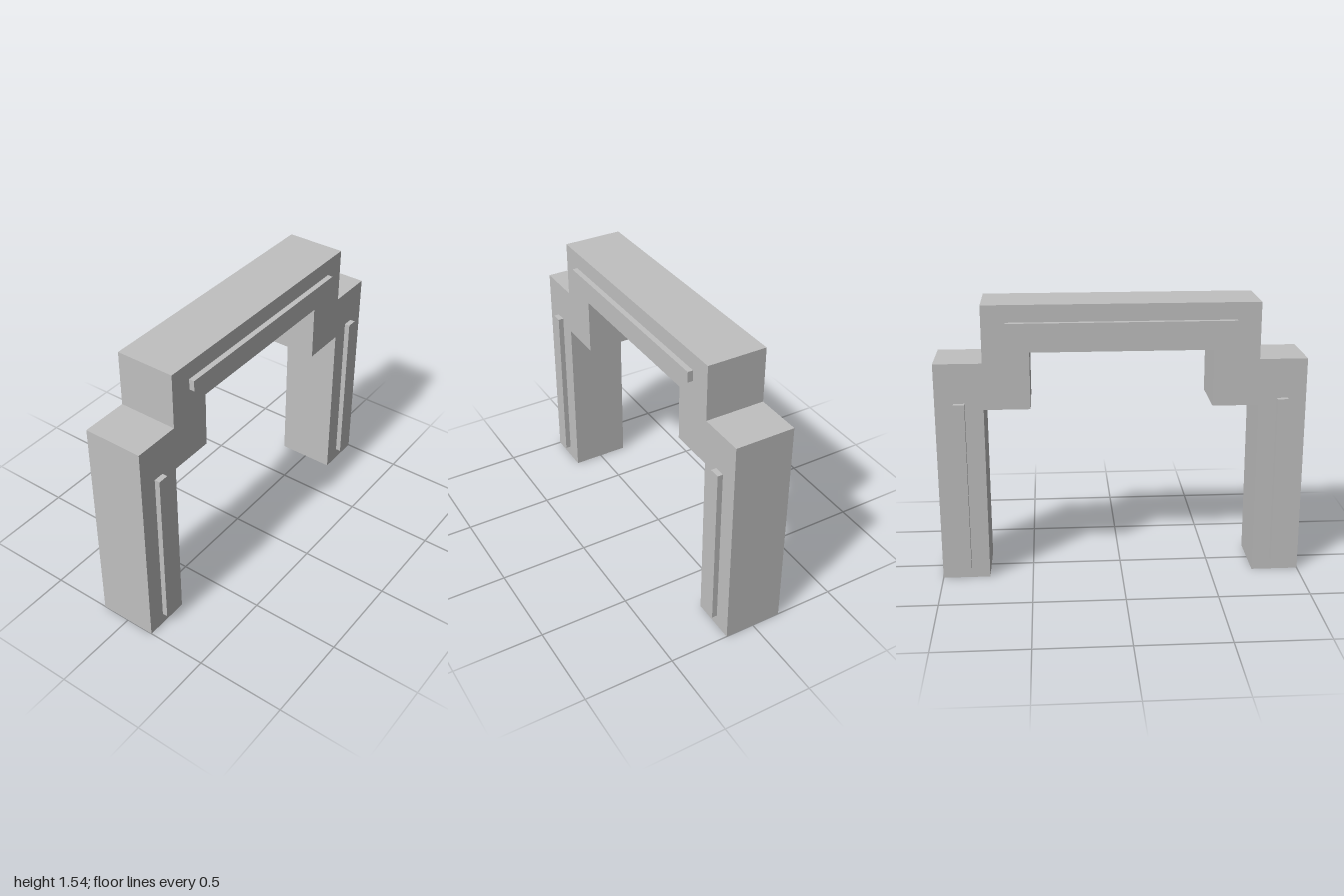
import * as THREE from 'three';

export function createModel() {
  const group = new THREE.Group();
  const grey = new THREE.MeshStandardMaterial({ color: 0xc0c0c0 });
  grey.name = 'stone grey';

  const depth = 0.33;      // thickness of the arch
  const stripDepth = 0.03; // how far the raised strips stand out

  // Stepped arch: half outline on +x, mirrored to -x
  const half = [
    [0.49, 1.285], [0.49, 0.975], [0.74, 0.975], [0.74, 0],
    [1, 0], [1, 1.23], [0.74, 1.23], [0.74, 1.54],
  ];
  const outline = [...half, ...half.map(([x, y]) => [-x, y]).reverse()];
  const shape = new THREE.Shape(outline.map(([x, y]) => new THREE.Vector2(x, y)));
  const archGeometry = new THREE.ExtrudeGeometry(shape, { depth, bevelEnabled: false });
  archGeometry.translate(0, 0, -depth / 2);
  const arch = new THREE.Mesh(archGeometry, grey);
  arch.name = 'arch';
  group.add(arch);

  // Raised strips on the front and the back
  function addStrip(name, x, y, width, height, side) {
    const strip = new THREE.Mesh(new THREE.BoxGeometry(width, height, stripDepth), grey);
    strip.name = name;
    strip.position.set(x, y, side * (depth + stripDepth) / 2);
    group.add(strip);
  }
  for (const [face, side] of [['front', 1], ['back', -1]]) {
    addStrip(face + 'LintelStrip', 0, 1.417, 1.226, 0.06, side);
    addStrip(face + 'LeftPillarStrip', 0.87, 0.54, 0.06, 0.945, side);
    addStrip(face + 'RightPillarStrip', -0.87, 0.54, 0.06, 0.945, side);
  }
  return group;
}
